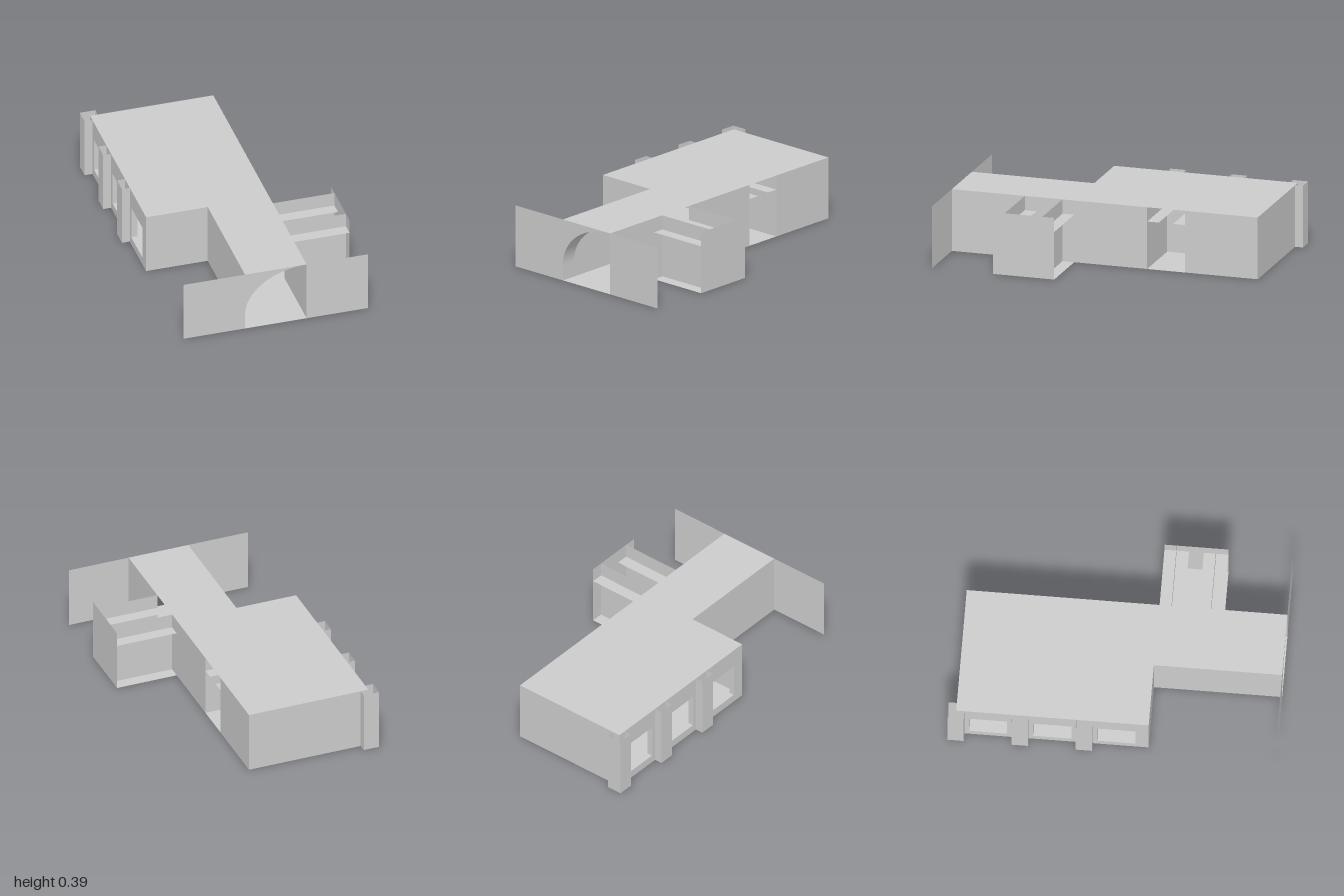
import * as THREE from 'three';

const H = 0.39;    // storey height
const CELL = 0.39; // plan module
const INSET = 0.075;

export function createModel() {
  const group = new THREE.Group();
  const mat = new THREE.MeshStandardMaterial({ color: 0xcccccc, side: THREE.DoubleSide, flatShading: true });

  function add(name, geo, parent = group) {
    const mesh = new THREE.Mesh(geo, mat);
    mesh.name = name;
    parent.add(mesh);
    return mesh;
  }
  // Thin upright panel along x at a fixed z
  function wallAlongX(name, z, x0, x1, parent) {
    const m = add(name, new THREE.PlaneGeometry(x1 - x0, H), parent);
    m.position.set((x0 + x1) / 2, H / 2, z);
  }
  // Thin upright panel along z at a fixed x
  function wallAlongZ(name, x, z0, z1, parent) {
    const m = add(name, new THREE.PlaneGeometry(z1 - z0, H), parent);
    m.rotation.y = Math.PI / 2;
    m.position.set(x, H / 2, (z0 + z1) / 2);
  }
  // Thin level panel
  function slab(name, y, x0, x1, z0, z1, parent) {
    const m = add(name, new THREE.PlaneGeometry(x1 - x0, z1 - z0), parent);
    m.rotation.x = -Math.PI / 2;
    m.position.set((x0 + x1) / 2, y, (z0 + z1) / 2);
  }

  const XL = -0.56, XM = -0.17, XR = 0.22, XE = 0.61;
  const ZB = -0.95, Z2 = -0.56, Z1 = -0.17, Z0 = 0.22, ZA = 0.61, ZF = 1;

  // Floors and roofs
  slab('roomFloor', 0, XL, XR, ZB, Z0);
  slab('corridorFloor', 0, XM, XR, Z0, ZF);
  slab('alcoveFloor', 0, XR, XE, Z0, ZA);
  slab('roomRoof', H, XL, XR, ZB, Z0);
  slab('corridorRoof', H, XM, XR, Z0, ZF);

  // Street front on both sides of the entrance
  wallAlongX('frontWallRight', ZF, XL, XM);
  wallAlongX('frontWallLeft', ZF, XR, XE);

  // Room and corridor walls
  wallAlongX('backWall', ZB, XL, XR);
  wallAlongX('roomFrontWall', Z0, XL, XM);
  wallAlongZ('corridorRightWall', XM, Z0, ZF);
  wallAlongZ('corridorLeftWall', XR, ZA - INSET, ZF);
  wallAlongZ('roomLeftWallFront', XR, Z1 - INSET, Z0 + INSET);
  wallAlongZ('roomLeftWallBack', XR, ZB, Z2 + INSET);

  // Window wall with three holes
  const wall = new THREE.Shape();
  wall.moveTo(ZB, 0).lineTo(Z0, 0).lineTo(Z0, H).lineTo(ZB, H).closePath();
  const w = 0.115, y0 = 0.05, y1 = 0.265, reveal = 0.035;
  for (let i = 0; i < 3; i++) {
    const c = ZB + CELL * (i + 0.5);
    const hole = new THREE.Path();
    hole.moveTo(c - w, y0).lineTo(c - w, y1).lineTo(c + w, y1).lineTo(c + w, y0).closePath();
    wall.holes.push(hole);
    // Reveals lining the opening
    const frame = new THREE.Group();
    frame.name = 'windowReveal' + (i + 1);
    group.add(frame);
    for (const y of [y0, y1]) slab('sill', y, XL, XL + reveal, c - w, c + w, frame);
    for (const z of [c - w, c + w]) {
      const jamb = add('jamb', new THREE.PlaneGeometry(reveal, y1 - y0), frame);
      jamb.position.set(XL + reveal / 2, (y0 + y1) / 2, z);
    }
  }
  const windowWall = add('windowWall', new THREE.ShapeGeometry(wall));
  windowWall.rotation.y = -Math.PI / 2;
  windowWall.position.x = XL;

  // Hollow square pillars outside the window wall
  for (const z of [ZB, Z2, Z1]) {
    const pillar = new THREE.Group();
    pillar.name = 'pillar';
    group.add(pillar);
    for (const s of [-0.05, 0.05]) {
      wallAlongX('pillarSide', z + s, XL - 0.05, XL + 0.05, pillar);
      wallAlongZ('pillarFace', XL + s, z - 0.05, z + 0.05, pillar);
    }
  }

  // Booths: a back wall and two inset side walls, each with a counter shelf
  function booth(name, x0, x1, z0, z1, backX) {
    const b = new THREE.Group();
    b.name = name;
    group.add(b);
    wallAlongZ('boothBack', backX, z0, z1, b);
    for (const z of [z0 + INSET, z1 - INSET]) {
      wallAlongX('counterWall', z, x0, x1, b);
      slab('counterShelf', 0.3, x0, x1, z - INSET, z + INSET, b);
    }
  }
  booth('outerBooth', XR, XE, Z0, ZA, XE);
  booth('innerBooth', XM, XR, Z2, Z1, XM);

  // Quarter arch in the entrance
  const arch = new THREE.Shape();
  arch.moveTo(XM, H).lineTo(XM, 0.1);
  arch.absellipse(XR, 0.1, XR - XM, H - 0.1, Math.PI, Math.PI / 2, true);
  arch.closePath();
  const archMesh = add('entranceArch', new THREE.ExtrudeGeometry(arch, { depth: 0.1, bevelEnabled: false, curveSegments: 16 }));
  archMesh.position.z = ZF - 0.1;

  return group;
}
